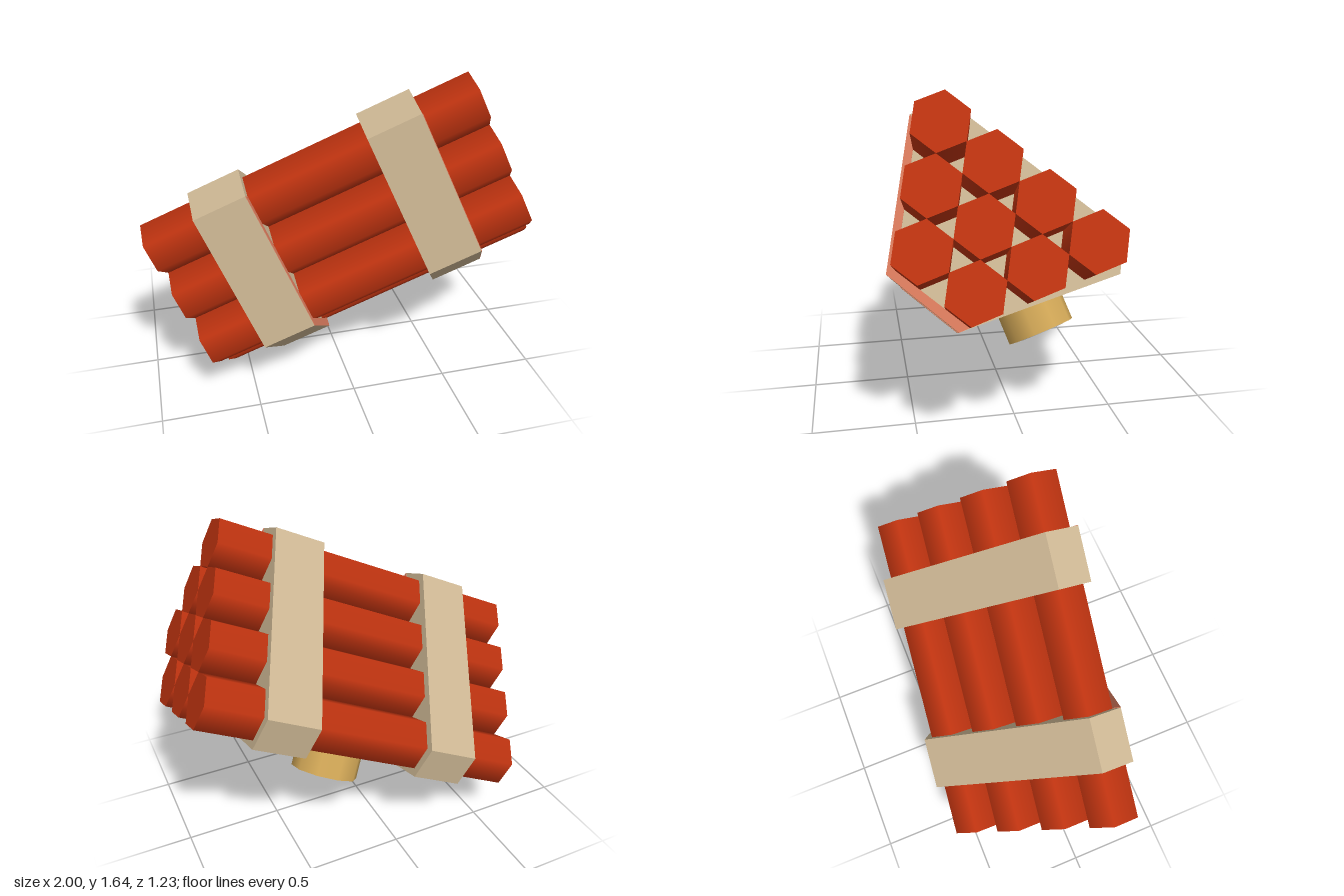
import * as THREE from 'three';

const SPACING = 0.2825, R = SPACING / 2, LENGTH = 1.742, H = Math.sqrt(3) / 2;

const mat = (name, color) => {
  const m = new THREE.MeshStandardMaterial({ color });
  m.name = name;
  return m;
};

// Cross-section coordinates: x runs along a row, y across the rows
const center = (row, i) => new THREE.Vector2((i + row / 2) * SPACING, -row * H * SPACING);
const dir = (deg) => new THREE.Vector2(Math.cos(deg * Math.PI / 180), Math.sin(deg * Math.PI / 180));
const corner = (row, i, deg, r) => center(row, i).addScaledVector(dir(deg), r);

// Prism with the given cross-section, running along local x from x0
function prism(points, x0, width) {
  const g = new THREE.ExtrudeGeometry(new THREE.Shape(points), { depth: width, bevelEnabled: false });
  return g.rotateY(Math.PI / 2).translate(x0, 0, 0);
}

export function createModel() {
  const red = mat('red paper', 0xbe3310);
  const tan = mat('tan tape', 0xcbb592);
  const salmon = mat('salmon tape edge', 0xd87a5c);
  const gold = mat('gold case', 0xd0a656);
  const grey = mat('grey dial', 0xa2a4a9);
  const black = mat('black hands', 0x1c1c1c);

  const model = new THREE.Group();
  model.name = 'stickBundle';
  const bundle = new THREE.Group();
  bundle.name = 'tiltedBundle';
  model.add(bundle);
  const add = (parent, geometry, material, name) => {
    const mesh = new THREE.Mesh(geometry, material);
    mesh.name = name;
    parent.add(mesh);
    return mesh;
  };

  // Six-sided sticks stacked in rows of four, three and two
  const stickGeometry = new THREE.CylinderGeometry(R, R, LENGTH, 6).rotateZ(-Math.PI / 2);
  for (let row = 0; row < 3; row++) {
    for (let i = 0; i < 4 - row; i++) {
      const p = center(row, i);
      add(bundle, stickGeometry, red, 'stick').position.set(0, p.y, -p.x);
    }
  }

  // Two tape bands wrapped around the stack
  const O = R + 0.045;
  const lowCorner = corner(2, 1, -60, R).addScaledVector(dir(240), 0.053);
  const bandOutline = [
    corner(0, 0, 120, O), corner(0, 0, 180, O), corner(2, 0, 240, O),
    lowCorner, corner(0, 3, 0, O), corner(0, 3, 60, O),
  ];
  const edgeOutline = [
    corner(0, 0, 180, O), corner(2, 0, 240, O), lowCorner,
    corner(2, 1, -60, R), corner(2, 0, 240, R), corner(0, 0, 180, R),
  ];
  const width = 0.274;
  for (const x of [-0.449, 0.449]) {
    add(bundle, prism(bandOutline, x - width / 2, width), tan, 'tapeBand');
    add(bundle, prism(edgeOutline, x + width / 2, 0.003), salmon, 'tapeEdge');
  }

  // Round timer on the lower slanted face
  const timer = new THREE.Group();
  timer.name = 'timer';
  const n = new THREE.Vector3(0, -0.5, -H);
  const base = center(1, 2);
  timer.position.set(0.01, base.y, -base.x).addScaledVector(n, R * H);
  timer.quaternion.setFromUnitVectors(new THREE.Vector3(0, 1, 0), n);
  bundle.add(timer);
  add(timer, new THREE.CylinderGeometry(0.18, 0.18, 0.18, 10), gold, 'timerCase').position.y = 0.07;
  add(timer, new THREE.CylinderGeometry(0.135, 0.135, 0.004, 10), grey, 'timerDial').position.y = 0.162;
  for (const [x, len] of [[-0.008, 0.02], [0.008, 0.028]]) {
    add(timer, new THREE.BoxGeometry(0.006, 0.003, len), black, 'timerHand').position.set(x, 0.165, 0);
  }

  // Tilt the bundle: local x is the stick axis, local -z runs along a row
  const axis = new THREE.Vector3(1.575, 0.715, 0.2).normalize();
  const side = new THREE.Vector3(-0.0992, 0.1602, 0.2087);
  side.addScaledVector(axis, -side.dot(axis)).normalize();
  const up = new THREE.Vector3().crossVectors(side, axis);
  bundle.quaternion.setFromRotationMatrix(new THREE.Matrix4().makeBasis(axis, up, side));
  bundle.position.set(-0.1535, 1.1535, 0.26);

  return model;
}
